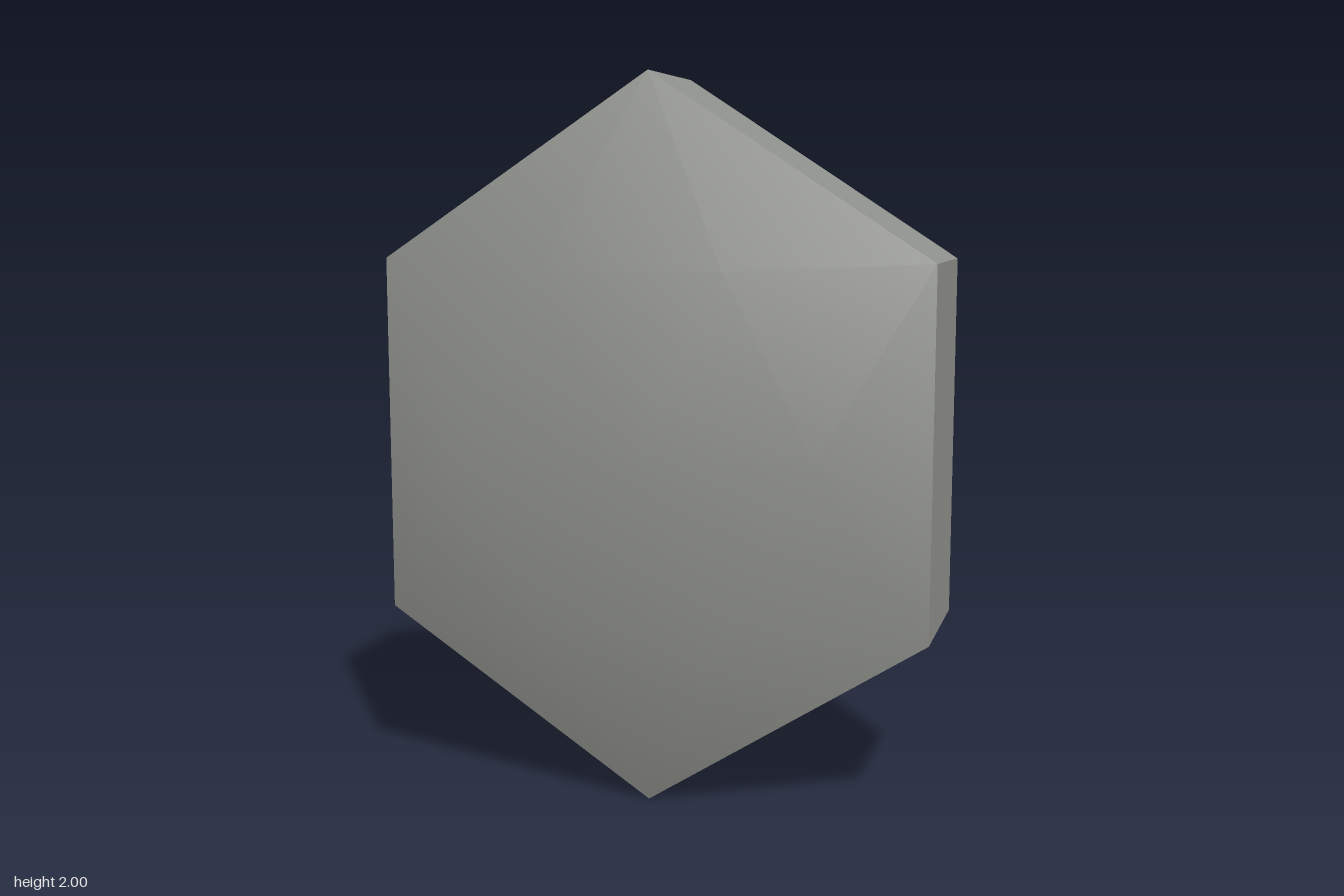
import * as THREE from 'three';

const SX = 0.89;       // the hexagon is slightly narrower than regular
const RIM_Z = 0.205;   // half thickness of the rim
const FACE_Z = 0.365;  // half thickness at the raised face
const INNER_R = 0.555; // raised face radius, turned 30 degrees against the rim

// Smooth domed cap: flat centre hexagon joined to the rim by a ring of triangles
function capGeometry() {
  const pos = [0, 0, FACE_Z];
  const idx = [];
  const add = (r, deg, z) => {
    const a = THREE.MathUtils.degToRad(deg);
    pos.push(r * SX * Math.cos(a), r * Math.sin(a), z);
  };
  for (let k = 0; k < 6; k++) add(INNER_R, 60 * k, FACE_Z);
  for (let k = 0; k < 6; k++) add(1, 60 * k + 30, RIM_Z);
  for (let k = 0; k < 6; k++) {
    const n = (k + 1) % 6;
    const i0 = 1 + k, i1 = 1 + n, o0 = 7 + k, o1 = 7 + n;
    idx.push(0, i0, i1, i0, o0, i1, o0, o1, i1);
  }
  const g = new THREE.BufferGeometry();
  g.setAttribute('position', new THREE.Float32BufferAttribute(pos, 3));
  g.setIndex(idx);
  g.computeVertexNormals();
  return g;
}

// Six flat sides
function rimGeometry() {
  const g = new THREE.CylinderGeometry(1, 1, RIM_Z * 2, 6, 1, true)
    .rotateX(Math.PI / 2).scale(SX, 1, 1).toNonIndexed();
  g.computeVertexNormals();
  return g;
}

export function createModel() {
  const grey = new THREE.MeshStandardMaterial({ color: 0x8f918c });
  grey.name = 'stone grey';
  const model = new THREE.Group();
  model.name = 'hexagonalTile';

  const addPart = (name, geometry, turn = 0) => {
    const mesh = new THREE.Mesh(geometry, grey);
    mesh.name = name;
    mesh.position.y = 1;
    mesh.rotation.y = turn;
    model.add(mesh);
  };

  const cap = capGeometry();
  addPart('rim', rimGeometry());
  addPart('frontFace', cap);
  addPart('backFace', cap, Math.PI);
  return model;
}
